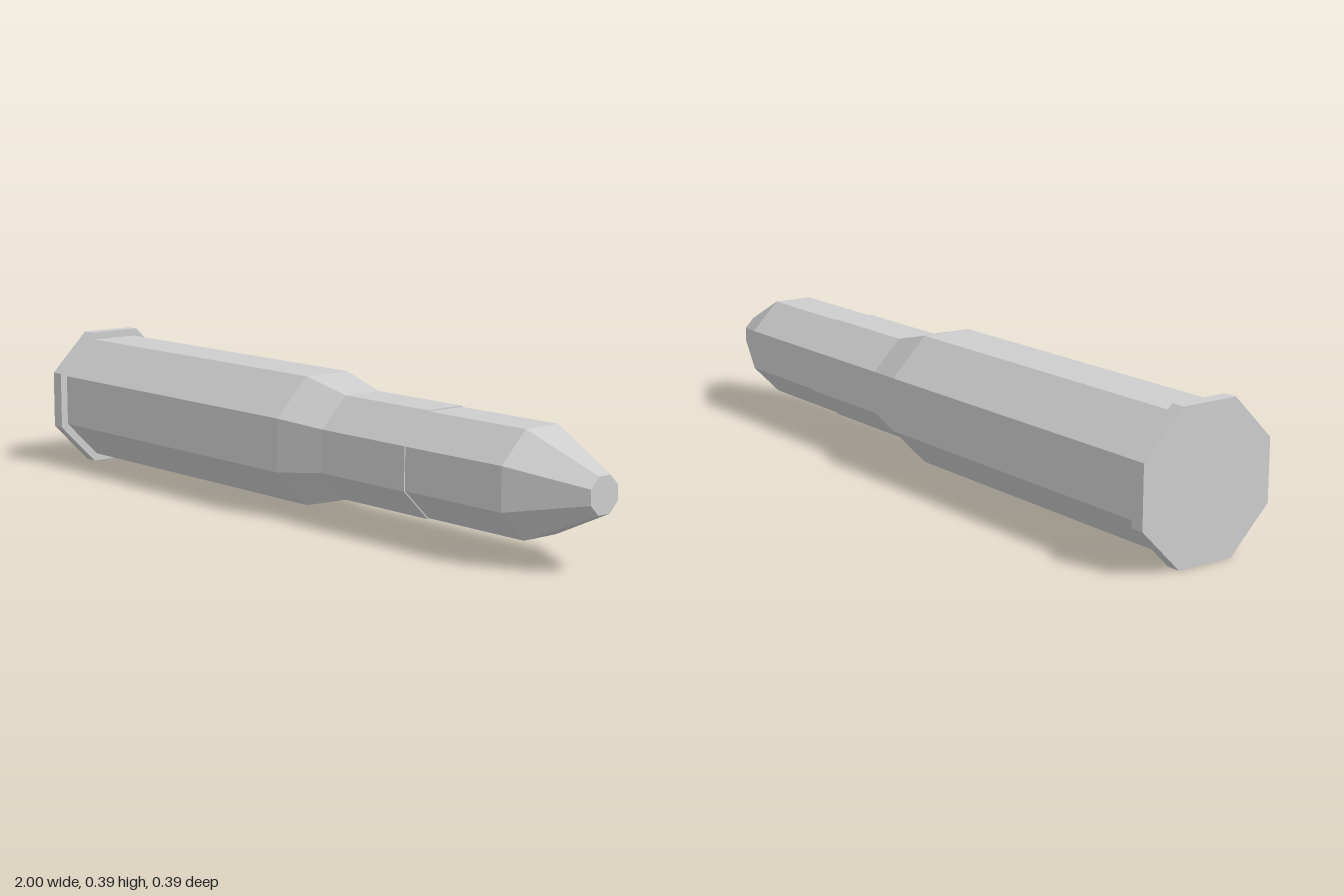
import * as THREE from 'three';

const SIDES = 8;
const CENTRE_Y = 0.193;
const toCorner = 1 / Math.cos(Math.PI / SIDES);

// Eight-sided solid along x; profile is [x, distance from axis to flat side]
function turned(name, profile, material) {
  const points = profile.map(([x, r]) => new THREE.Vector2(r * toCorner, x));
  const geometry = new THREE.LatheGeometry(points, SIDES, Math.PI / SIDES)
    .rotateZ(-Math.PI / 2)
    .toNonIndexed();
  geometry.computeVertexNormals();
  const mesh = new THREE.Mesh(geometry, material);
  mesh.name = name;
  mesh.position.y = CENTRE_Y;
  return mesh;
}

export function createModel() {
  const grey = new THREE.MeshStandardMaterial({ color: 0xcccccc, flatShading: true });
  grey.name = 'light grey';

  const model = new THREE.Group();
  model.name = 'cartridge';

  // Wide flat disc at the base
  model.add(turned('baseRim', [[-1, 0], [-1, 0.193], [-0.962, 0.193], [-0.962, 0]], grey));

  // Straight body, sloping shoulder and narrower neck
  model.add(turned('case', [
    [-0.962, 0.172], [0.02, 0.172], [0.16, 0.137], [0.47, 0.137], [0.47, 0.13],
  ], grey));

  // Projectile seated in the neck, tapering to a blunt tip
  model.add(turned('projectile', [
    [0.45, 0], [0.45, 0.134], [0.8, 0.134], [1, 0.046], [1, 0],
  ], grey));

  return model;
}
